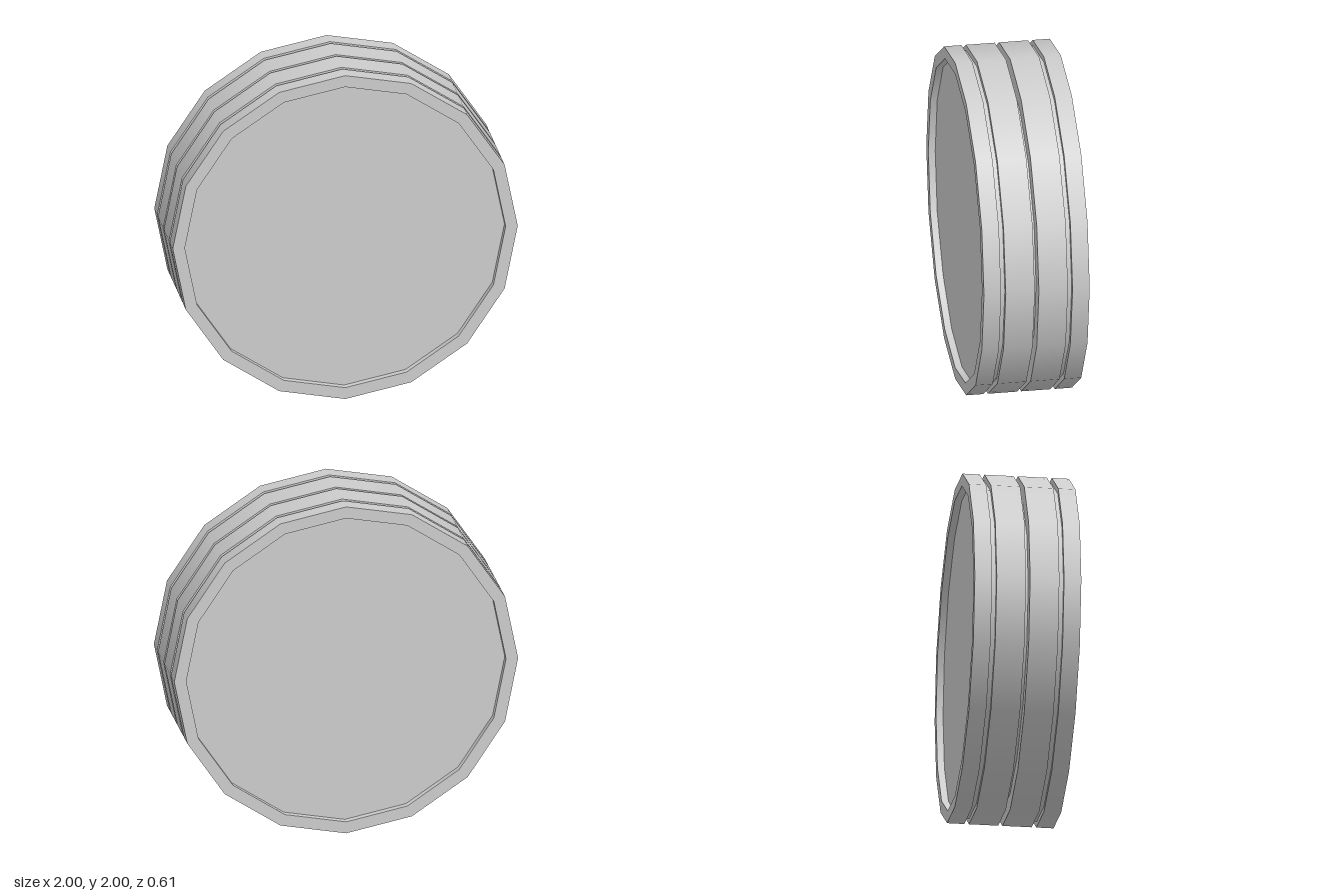
import * as THREE from 'three';
import { mergeGeometries } from 'three/addons/utils/BufferGeometryUtils.js';

const SIDES = 16;

// Turns a [radius, z] profile around the z axis: smooth around, sharp at each profile corner
function turned(name, profile, material) {
  const strips = [];
  for (let i = 0; i < profile.length - 1; i++) {
    const pair = [profile[i], profile[i + 1]].map(([r, z]) => new THREE.Vector2(r, z));
    strips.push(new THREE.LatheGeometry(pair, SIDES));
  }
  const geometry = mergeGeometries(strips);
  geometry.rotateX(Math.PI / 2);
  const mesh = new THREE.Mesh(geometry, material);
  mesh.name = name;
  return mesh;
}

export function createModel() {
  const grey = new THREE.MeshStandardMaterial({ color: 0xcccccc });
  grey.name = 'grey';

  const group = new THREE.Group();
  group.name = 'groovedDrum';

  const half = 0.306;    // half the drum's width
  const face = 0.266;    // recessed end faces
  const rim = 0.93;      // inner radius of the end rims
  const outer = 0.207, inner = 0.18;  // edges of the side grooves
  const slit = 0.012;    // half width of the middle groove
  const sideR = 0.967, slitR = 0.9;   // groove floor radii

  // Recessed end faces with their raised rims
  group.add(
    turned('backFace', [[0, -face], [rim, -face]], grey),
    turned('backRim', [[rim, -face], [rim, -half], [1, -half]], grey),
    turned('frontRim', [[1, half], [rim, half], [rim, face]], grey),
    turned('frontFace', [[rim, face], [0, face]], grey),
  );

  // Outer bands
  const bands = [[-half, -outer], [-inner, -slit], [slit, inner], [outer, half]];
  bands.forEach(([a, b], i) => group.add(turned(`band${i + 1}`, [[1, a], [1, b]], grey)));

  // Grooves between the bands
  const grooves = [[-outer, -inner, sideR], [-slit, slit, slitR], [inner, outer, sideR]];
  grooves.forEach(([a, b, r], i) =>
    group.add(turned(`groove${i + 1}`, [[1, a], [r, a], [r, b], [1, b]], grey)));

  group.children.forEach((mesh) => { mesh.position.y = 1; });
  return group;
}
